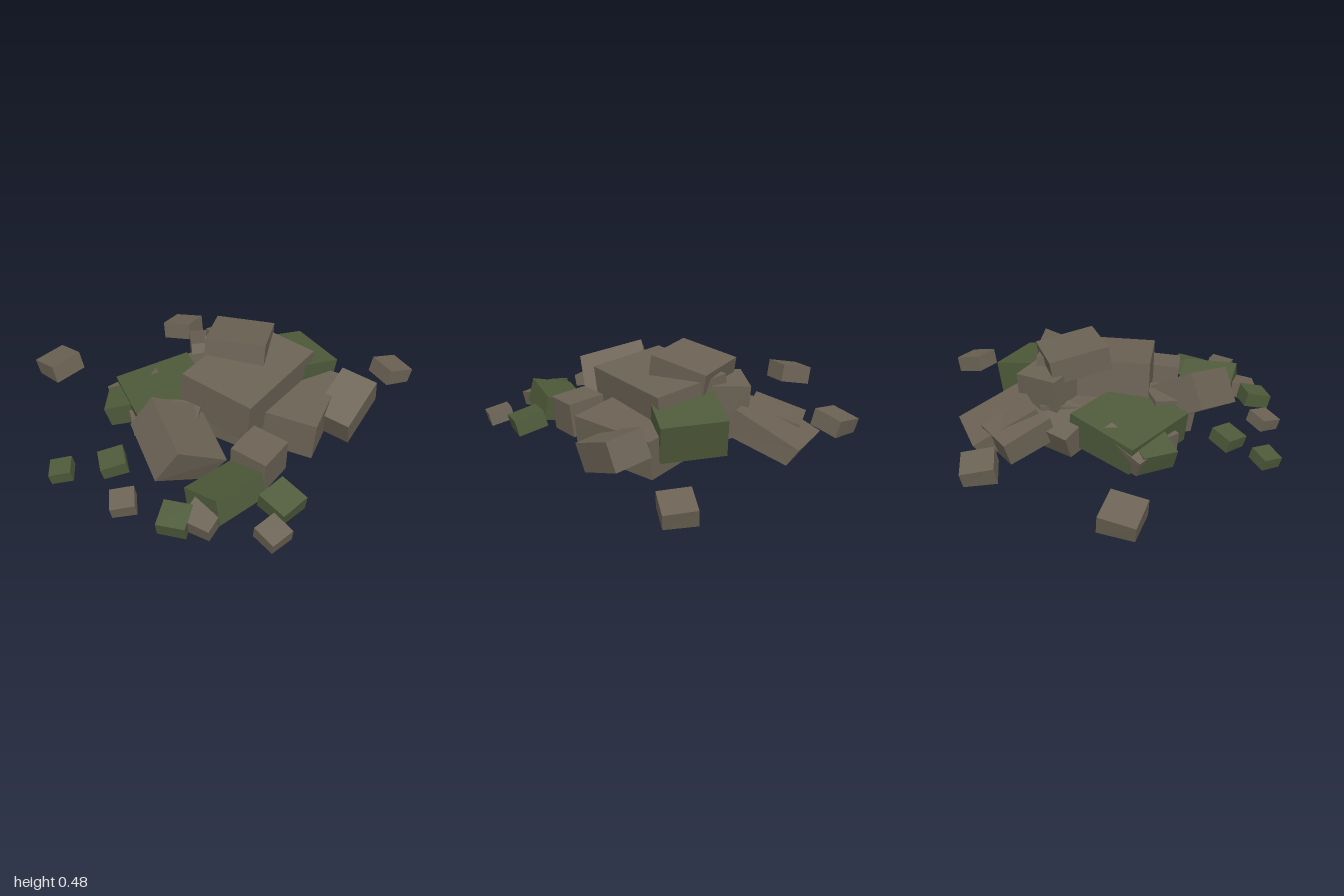
import * as THREE from 'three';

const stone = new THREE.MeshStandardMaterial({ color: 0x6b6254 });
stone.name = 'brown stone';
const moss = new THREE.MeshStandardMaterial({ color: 0x4e5a3a });
moss.name = 'mossy green stone';

const HEAP_X = 0.1, HEAP_Z = -0.05;

// A block tipped by its own pitch and roll, turned by yaw, then leaning away
// from the heap's middle; buried corners are flattened onto the ground
function block(name, material, x, z, [w, h, d], yaw, lean, y = h / 2 + 0.015, pitch = 0, roll = 0) {
  const box = new THREE.BoxGeometry(w, h, d);
  box.rotateZ(roll).rotateX(pitch).rotateY(yaw);
  const axis = new THREE.Vector3(z - HEAP_Z, 0, HEAP_X - x).normalize();
  box.applyQuaternion(new THREE.Quaternion().setFromAxisAngle(axis, lean));
  box.translate(x, y, z);
  const p = box.attributes.position;
  for (let i = 0; i < p.count; i++) p.setY(i, Math.max(0, p.getY(i)));
  const geometry = box.toNonIndexed();
  geometry.computeVertexNormals();
  const mesh = new THREE.Mesh(geometry, material);
  mesh.name = name;
  return mesh;
}

// The slabs stacked in the middle
function createStack() {
  const stack = new THREE.Group();
  stack.name = 'stack';
  stack.add(
    block('topBlock', stone, 0.06, -0.14, [0.31, 0.13, 0.32], 0.56, 0.17, 0.39),
    block('mainSlab', stone, 0.2, -0.05, [0.41, 0.22, 0.6], 0.15, 0.1, 0.265),
    block('coreBlock', stone, 0.1, -0.05, [0.5, 0.18, 0.5], 0.2, 0),
    block('leftUpright', stone, -0.07, -0.24, [0.2, 0.28, 0.24], -0.3, 0.08, 0.21),
    block('leftFooting', stone, -0.2, -0.12, [0.24, 0.18, 0.26], -0.4, 0.3, 0.08),
    block('rightBlock', stone, 0.42, -0.21, [0.31, 0.2, 0.5], 0.4, 0.08),
  );
  return stack;
}

// Big blocks leaning around the stack
function createSlope() {
  const slope = new THREE.Group();
  slope.name = 'slope';
  slope.add(
    block('backMossBlock', moss, 0.22, -0.39, [0.33, 0.2, 0.31], -0.23, 0.2, 0.2),
    block('backLeftBlock', stone, -0.24, -0.44, [0.31, 0.15, 0.37], 0.62, 0.42, 0.09),
    block('backLeftSlab', stone, -0.32, -0.32, [0.28, 0.14, 0.24], -0.72, 0.3, 0.1),
    block('backRightBlock', stone, 0.6, -0.37, [0.2, 0.15, 0.31], 0.15, 0, 0.135, 0.35, -0.12),
    block('leftMossBlock', moss, -0.13, 0.21, [0.46, 0.18, 0.41], -0.44, 0.16, 0.105),
    block('leftWedge', stone, -0.34, 0.24, [0.09, 0.14, 0.28], -0.5, 0.35, 0.08),
    block('leftMossStone', moss, -0.28, 0.36, [0.2, 0.12, 0.19], 0.7, 0.3, 0.08),
    block('frontLeftStone', stone, -0.13, 0.38, [0.12, 0.1, 0.14], -0.6, 0.1),
    block('frontBlock', stone, 0.215, 0.47, [0.36, 0.2, 0.31], -0.25, 0, 0.16, -0.52, -0.3),
    block('frontWedge', stone, 0.12, 0.36, [0.2, 0.2, 0.24], 0.6, 0.15),
    block('frontRightStone', stone, 0.54, 0.24, [0.2, 0.18, 0.2], 0.15, 0.1),
    block('frontRightMossBlock', moss, 0.57, 0.51, [0.22, 0.13, 0.3], -0.04, 0, 0.08, -0.04, 0.25),
  );
  return slope;
}

// Loose stones around the heap: material, x, z, width, yaw
const loose = [
  [stone, 0.525, -0.9, 0.16, -0.27],
  [stone, -0.645, -0.41, 0.17, 0.32],
  [stone, -0.86, 0.365, 0.185, -0.08],
  [moss, 0, 0.71, 0.13, -0.6],
  [moss, -0.14, 0.92, 0.11, 0.8],
  [stone, 0.25, 0.865, 0.12, 0.85],
  [moss, 0.51, 0.78, 0.14, 0.5],
  [stone, 0.6, 0.69, 0.15, 0.25],
  [moss, 0.79, 0.355, 0.16, -0.03],
  [stone, 0.89, 0.535, 0.125, -0.08],
];

export function createModel() {
  const model = new THREE.Group();
  model.name = 'rubblePile';
  model.add(createStack(), createSlope());
  loose.forEach(([material, x, z, width, yaw], i) => {
    const size = [width, width * 0.55, width];
    model.add(block(`looseStone${i + 1}`, material, x, z, size, yaw, 0.25));
  });
  return model;
}
